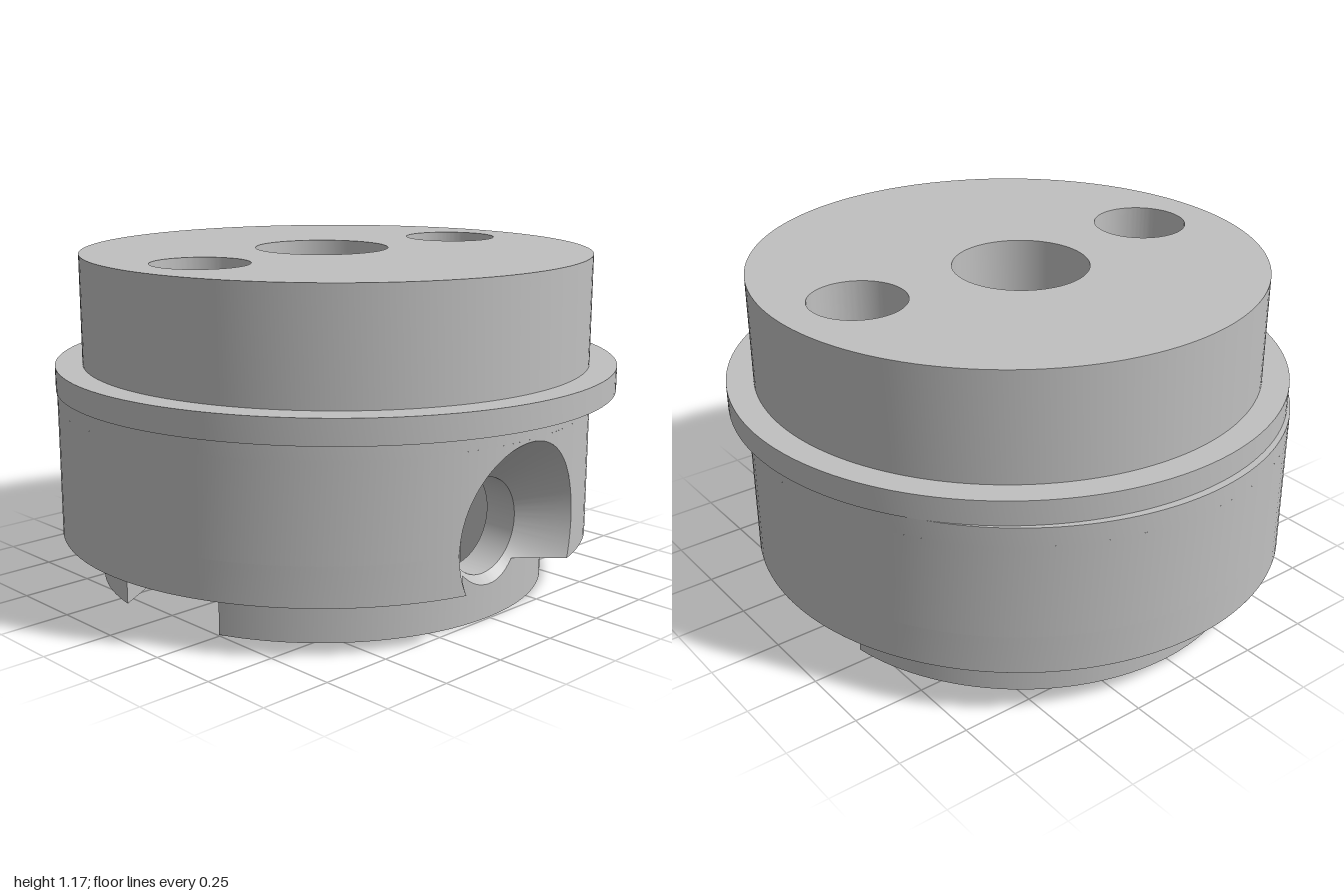
import * as THREE from 'three';
import { toCreasedNormals } from 'three/addons/utils/BufferGeometryUtils.js';

const V2 = (x, z) => new THREE.Vector2(x, z);
const V3 = (x, y, z) => new THREE.Vector3(x, y, z);

// Heights of the layers
const Y_BODY = 0.175, Y_SLAB = 0.64, Y_FLANGE = 0.705, Y_CAP = 0.79, Y_TOP = 1.17;
// Round sections: centre x and radius
const BOSS = { c: -0.06, r: 0.803 }, BODY = { c: -0.05, r: 0.95 };
const FLANGE = { c: 0.0125, r: 0.987 }, CAP = { c: 0.0125, r: 0.893 };
// Vertical bores
const MID = { x: -0.06, z: 0, r: 0.235 };
const SIDES = [1, -1].map(s => ({ x: 0.01, z: s * 0.607, r: 0.165 }));
// Radial screw hole with its countersink and nut slot
const AXIS_Y = 0.31, BORE_R = 0.165, CONE_X = 0.71;
const SLOT = { x0: 0.36, x1: 0.59, z: 0.3 };
const coneR = x => BORE_R + Math.max(0, x - CONE_X) * 0.82;

function bisect(inside, lo, hi) {
  for (let i = 0; i < 40; i++) {
    const m = (lo + hi) / 2;
    if (inside(m)) lo = m; else hi = m;
  }
  return lo;
}

function arc(s, a0, a1, n) {
  const out = [];
  for (let i = 0; i <= n; i++) {
    const a = a0 + (a1 - a0) * i / n;
    out.push(V2(s.c + s.r * Math.cos(a), s.r * Math.sin(a)));
  }
  return out;
}

// Quad strip between two matching rows of points
function strip(A, B) {
  const pos = [], idx = [];
  A.forEach((p, i) => {
    pos.push(...p.toArray(), ...B[i].toArray());
    if (i) {
      const k = 2 * i;
      idx.push(k - 2, k - 1, k, k, k - 1, k + 1);
    }
  });
  const g = new THREE.BufferGeometry();
  g.setAttribute('position', new THREE.Float32BufferAttribute(pos, 3));
  g.setIndex(idx);
  g.computeVertexNormals();
  return toCreasedNormals(g, 0.5);
}

// Upright wall over a plan polyline
function wall(pts, bottom, top) {
  const at = (f, p) => V3(p.x, typeof f === 'function' ? f(p) : f, p.y);
  return strip(pts.map(p => at(bottom, p)), pts.map(p => at(top, p)));
}

function circleHole(x, y, r) {
  return new THREE.Path().absarc(x, y, r, 0, Math.PI * 2, true);
}

// Flat horizontal face
function plate(outline, holes, y) {
  const s = new THREE.Shape(outline);
  s.holes.push(...holes);
  return new THREE.ShapeGeometry(s, 48).rotateX(Math.PI / 2).translate(0, y, 0);
}

// Disc layer with the three vertical bores
function disc(s, y0, y1) {
  const shape = new THREE.Shape().absarc(s.c, 0, s.r, 0, Math.PI * 2, false);
  for (const h of [MID, ...SIDES]) shape.holes.push(circleHole(h.x, h.z, h.r));
  const g = new THREE.ExtrudeGeometry(shape, { depth: y1 - y0, bevelEnabled: false, curveSegments: 72 });
  return toCreasedNormals(g.rotateX(-Math.PI / 2).translate(0, y0, 0), 0.5);
}

export function createModel() {
  const model = new THREE.Group();
  const metal = new THREE.MeshStandardMaterial({ color: 0xc0c0c0, side: THREE.DoubleSide });
  metal.name = 'grey metal';
  const add = (name, geo) => {
    const m = new THREE.Mesh(geo, metal);
    m.name = name;
    model.add(m);
  };
  const mirror = pts => pts.map(p => V2(p.x, -p.y)).reverse();

  // Solid upper layers
  add('cap', disc(CAP, Y_CAP, Y_TOP));
  add('flange', disc(FLANGE, Y_FLANGE, Y_CAP));
  add('bodyTop', disc(BODY, Y_SLAB, Y_FLANGE));

  // Body wall, opened where the countersink breaks through
  const half = p => Math.sqrt(Math.max(0, coneR(p.x) ** 2 - p.y ** 2)) * (p.x > 0.3 ? 1 : 0);
  const ring = [...arc(BODY, -0.4, 0.4, 300), ...arc(BODY, 0.4, Math.PI * 2 - 0.4, 90)];
  add('bodyWallUpper', wall(ring, p => AXIS_Y + half(p), Y_SLAB));
  add('bodyWallLower', wall(ring, Y_BODY, p => Math.max(Y_BODY, AXIS_Y - half(p))));

  // Countersink and screw bore, trimmed by the body and boss
  const outer = [], neck = [], inner = [];
  for (let i = 0; i <= 144; i++) {
    const a = i / 144 * Math.PI * 2, c = Math.cos(a), s = Math.sin(a);
    const on = x => V3(x, AXIS_Y + coneR(x) * s, coneR(x) * c);
    const x = bisect(t => {
      const p = on(t), part = p.y < Y_BODY ? BOSS : BODY;
      return Math.hypot(p.x - part.c, p.z) < part.r;
    }, CONE_X, 1);
    outer.push(on(x));
    neck.push(on(CONE_X));
    inner.push(on(SLOT.x1));
  }
  add('countersink', strip(outer, neck));
  add('screwBore', strip(neck, inner));

  // Nut slot behind the screw bore
  const slot = [V2(SLOT.x1, -SLOT.z), V2(SLOT.x0, -SLOT.z), V2(SLOT.x0, SLOT.z), V2(SLOT.x1, SLOT.z)];
  add('nutSlotWalls', wall(slot, 0, Y_SLAB));
  const front = new THREE.Shape([V2(-SLOT.z, 0), V2(SLOT.z, 0), V2(SLOT.z, Y_SLAB), V2(-SLOT.z, Y_SLAB)]);
  front.holes.push(circleHole(0, AXIS_Y, BORE_R));
  add('nutSlotFront', new THREE.ShapeGeometry(front, 72).rotateY(-Math.PI / 2).translate(SLOT.x1, 0, 0));

  // Hexagonal pockets, cut open by the rim of the boss
  const hex = [];
  for (let i = 0; i < 6; i++) {
    const a = i * Math.PI / 3;
    hex.push(V2(0.01 + 0.31 * Math.cos(a), 0.607 + 0.31 * Math.sin(a)));
  }
  const crossing = (from, to) => {
    const t = bisect(k => {
      const p = from.clone().lerp(to, k);
      return Math.hypot(p.x - BOSS.c, p.y) < BOSS.r;
    }, 0, 1);
    return from.clone().lerp(to, t);
  };
  const pR = crossing(hex[0], hex[1]), pL = crossing(hex[3], hex[2]);
  const notch = [pR, hex[0], hex[5], hex[4], hex[3], pL];
  const rim = [pR, hex[1], hex[2], pL];
  for (const [side, f] of [['front', p => p], ['back', mirror]]) {
    add(side + 'PocketInner', wall(f(notch), 0, Y_SLAB));
    add(side + 'PocketOuter', wall(f(rim), Y_BODY, Y_SLAB));
  }

  // Underside of the body, notched by countersink and slot
  const drop = AXIS_Y - Y_BODY;
  const cutZ = x => Math.sqrt(coneR(x) ** 2 - drop ** 2);
  const a0 = bisect(a => {
    const x = BODY.c + BODY.r * Math.cos(a);
    return BODY.r * Math.sin(a) < cutZ(x);
  }, 0, 0.5);
  const xEdge = BODY.c + BODY.r * Math.cos(a0);
  const cut = [V2(SLOT.x1, cutZ(SLOT.x1))];
  for (let i = 0; i < 20; i++) {
    const x = CONE_X + (xEdge - CONE_X) * i / 20;
    cut.push(V2(x, cutZ(x)));
  }
  const under = [...arc(BODY, a0, Math.PI * 2 - a0, 120), ...mirror(cut), ...slot, ...cut];
  add('bodyUnderside', plate(under, [circleHole(MID.x, 0, MID.r), new THREE.Path(hex), new THREE.Path(mirror(hex))], Y_BODY));

  // Lower boss
  const aR = Math.atan2(pR.y, pR.x - BOSS.c), aL = Math.atan2(pL.y, pL.x - BOSS.c);
  const right = arc(BOSS, -aR, aR, 120), left = arc(BOSS, aL, Math.PI * 2 - aL, 60);
  add('bossWallRight', wall(right, 0, p => {
    const open = Math.abs(p.y) < coneR(p.x);
    return open ? Math.min(Y_BODY, AXIS_Y - half(p)) : Y_BODY;
  }));
  add('bossWallLeft', wall(left, 0, Y_BODY));
  const base = [...right, ...notch.slice(1, -1), ...left, ...mirror(notch).slice(1, -1)];
  add('bossUnderside', plate(base, [circleHole(MID.x, 0, MID.r), new THREE.Path(slot)], 0));

  // Lower part of the central bore
  add('centreBore', wall(arc({ c: MID.x, r: MID.r }, 0, Math.PI * 2, 72), 0, Y_SLAB));

  return model;
}
